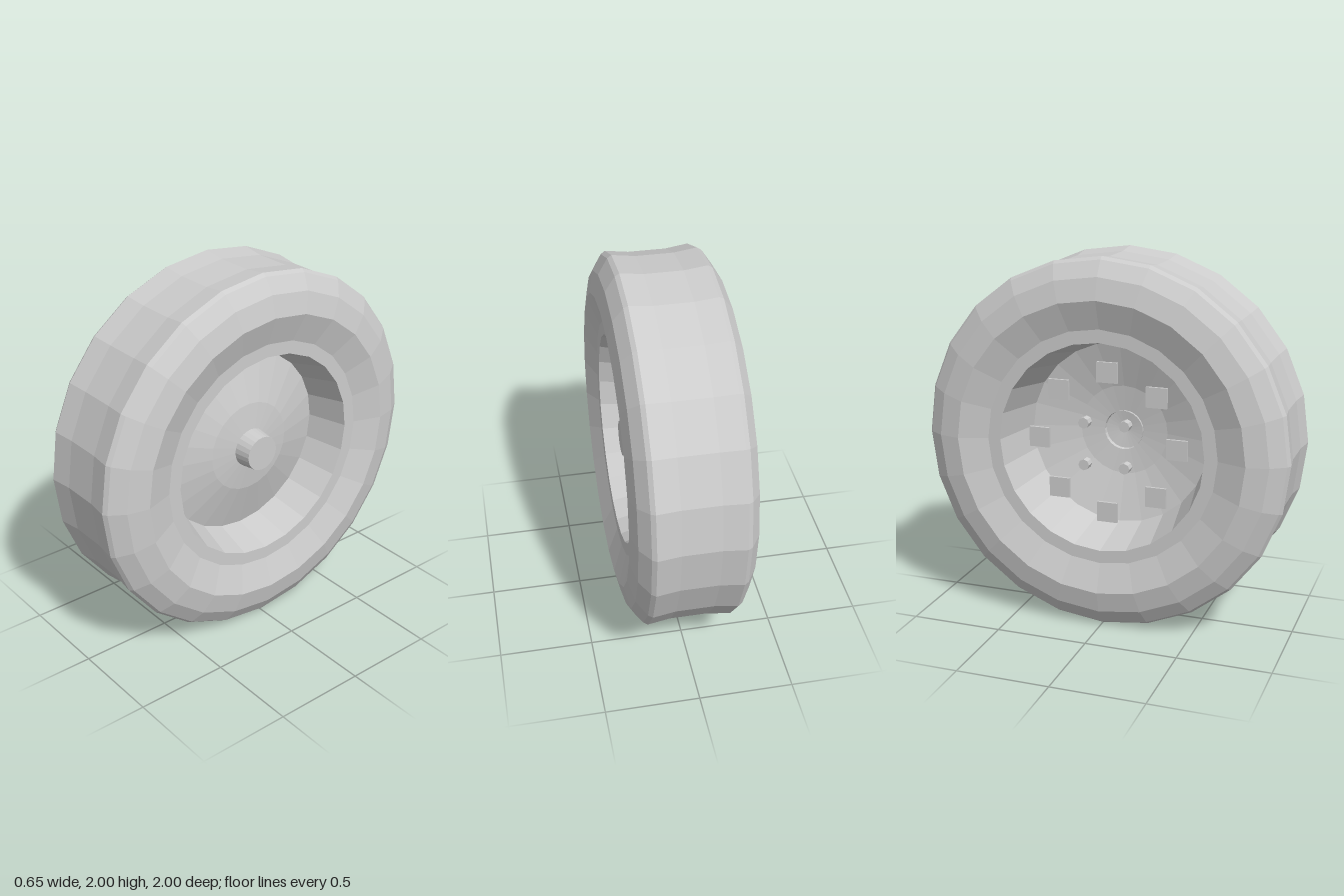
import * as THREE from 'three';

const SEGMENTS = 24;

// Turn a profile of [x, radius] points about the wheel's x axis
function turned(profile, segments = SEGMENTS) {
  const points = profile.map(([x, r]) => new THREE.Vector2(r, x));
  return new THREE.LatheGeometry(points, segments).rotateZ(-Math.PI / 2);
}

export function createModel() {
  const grey = new THREE.MeshStandardMaterial({ color: 0xcccccc, flatShading: true });
  grey.name = 'light grey';
  grey.side = THREE.DoubleSide;

  const model = new THREE.Group();
  model.name = 'wheel';
  const wheel = new THREE.Group();
  wheel.name = 'wheelAssembly';
  wheel.position.y = 1;
  model.add(wheel);

  const add = (name, geometry, x = 0, y = 0, z = 0) => {
    const mesh = new THREE.Mesh(geometry, grey);
    mesh.name = name;
    mesh.position.set(x, y, z);
    wheel.add(mesh);
  };

  // Tyre: dished sidewalls, bevelled shoulders, slightly hollow tread
  const half = [[0.27, 0.635], [0.323, 0.79], [0.297, 0.905], [0.245, 0.985], [0.222, 1], [0.1, 0.984]];
  const mirrored = half.map(([x, r]) => [-x, r]);
  add('tyre', turned([...mirrored, ...[...half].reverse()]));

  // Rim: flat lips and a barrel narrowing to the disc
  add('rim', turned([[0.27, 0.635], [0.27, 0.565], [0.05, 0.505], [-0.27, 0.565], [-0.27, 0.635]]));

  // Shallow domed disc closing the barrel
  add('disc', turned([[0.05, 0.505], [0.125, 0.25], [0.155, 0.0001]]));

  // Axle cap on the outer side
  add('axleCap', turned([[0.12, 0.11], [0.235, 0.095], [0.235, 0.0001]]));

  // Four wheel nuts on the inner side
  for (const y of [-0.115, 0.115]) {
    for (const z of [-0.113, 0.113]) {
      add('wheelNut', new THREE.CylinderGeometry(0.03, 0.03, 0.05, 8).rotateZ(Math.PI / 2), -0.18, y, z);
    }
  }

  // Ring of eight upright square plates on the inner side
  for (let i = 0; i < 8; i++) {
    const a = (i * Math.PI) / 4;
    add('plate', new THREE.BoxGeometry(0.015, 0.11, 0.115), -0.15, 0.385 * Math.cos(a), 0.385 * Math.sin(a));
  }

  return model;
}
